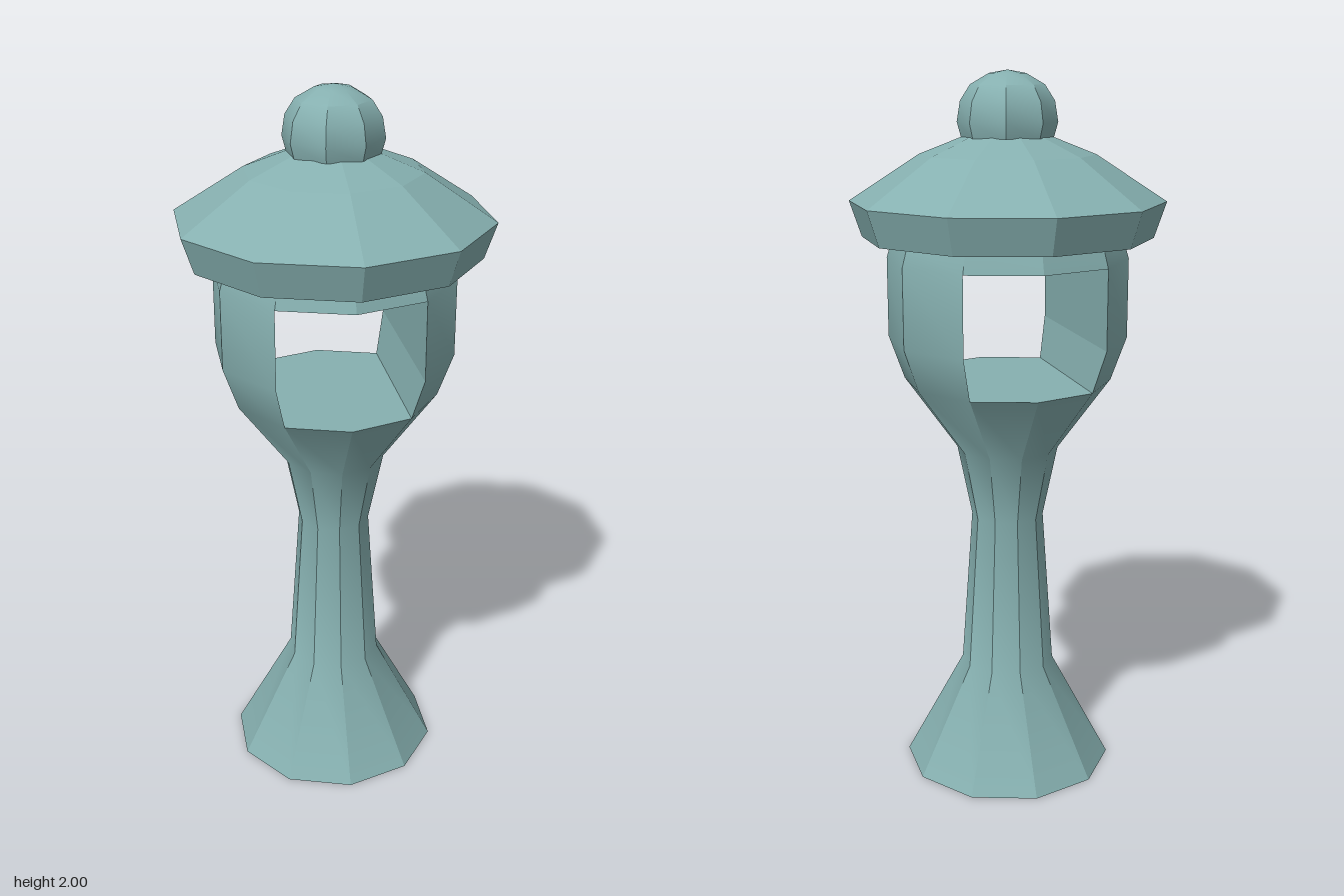
import * as THREE from 'three';
import { toCreasedNormals } from 'three/addons/utils/BufferGeometryUtils.js';

const stone = new THREE.MeshStandardMaterial({ color: 0x86b0b0, side: THREE.DoubleSide });
stone.name = 'paleGreenStone';

const SIDES = 10;

// point on a ring: corner i of n, first corner on +x
function corner([r, y], i, n = SIDES) {
  const a = (i / n) * Math.PI * 2;
  return [r * Math.cos(a), y, r * Math.sin(a)];
}

function quad(out, a, b, c, d) {
  out.push(...a, ...b, ...c, ...a, ...c, ...d);
}

function toGeometry(positions, crease = 0) {
  const g = new THREE.BufferGeometry();
  g.setAttribute('position', new THREE.Float32BufferAttribute(positions, 3));
  g.computeVertexNormals();
  return crease ? toCreasedNormals(g, crease) : g;
}

// faceted shell from a [radius, height] profile listed bottom to top
function shell(profile, n, crease, skip = () => false) {
  const out = [];
  for (let row = 0; row < profile.length - 1; row++) {
    const lo = profile[row], hi = profile[row + 1];
    for (let i = 0; i < n; i++) {
      if (skip(row, i)) continue;
      const a = corner(lo, i, n), b = corner(hi, i, n);
      const c = corner(hi, i + 1, n), d = corner(lo, i + 1, n);
      if (hi[0] === 0) out.push(...a, ...b, ...d);
      else quad(out, a, b, c, d);
    }
  }
  return toGeometry(out, crease);
}

function part(name, geometry) {
  const mesh = new THREE.Mesh(geometry, stone);
  mesh.name = name;
  return mesh;
}

export function createModel() {
  const lantern = new THREE.Group();
  lantern.name = 'stoneLantern';

  // flared foot, narrow stem and light chamber in one column
  const column = [
    [0.3, 0], [0.133, 0.31], [0.102, 0.76], [0.143, 0.96], [0.29, 1.16],
    [0.333, 1.28], [0.333, 1.5], [0.315, 1.56], [0.25, 1.75],
  ];
  const openFacets = [1, 2, 6, 7];
  const isOpening = (row, i) => (row === 4 || row === 5) && openFacets.includes(i);
  lantern.add(part('column', shell(column, SIDES, 0.5, isOpening)));

  // tunnel joining the two openings: side walls, floor and ceiling
  const walls = [];
  for (const [from, to] of [[6, 3], [1, 8]]) {
    for (const row of [4, 5]) {
      const lo = column[row], hi = column[row + 1];
      quad(walls, corner(lo, from), corner(hi, from), corner(hi, to), corner(lo, to));
    }
  }
  lantern.add(part('chamberWalls', toGeometry(walls)));

  const rim = [1, 2, 3, 6, 7, 8];
  const slab = (ring, order) => {
    const out = [];
    for (let k = 1; k < order.length - 1; k++) {
      for (const i of [order[0], order[k], order[k + 1]]) out.push(...corner(ring, i));
    }
    return toGeometry(out);
  };
  lantern.add(part('chamberFloor', slab(column[4], [...rim].reverse())));
  lantern.add(part('chamberCeiling', slab(column[6], rim)));

  // hollow roof with a sloped rim
  const roof = [[0.4, 1.557], [0.433, 1.655], [0.24, 1.78], [0.1, 1.835]];
  lantern.add(part('roof', shell(roof, SIDES, 0)));

  // domed finial
  const finial = [
    [0.125, 1.825], [0.136, 1.865], [0.127, 1.92], [0.1, 1.962], [0.05, 1.991], [0, 2],
  ];
  lantern.add(part('finial', shell(finial, 8, 0.5)));

  return lantern;
}
